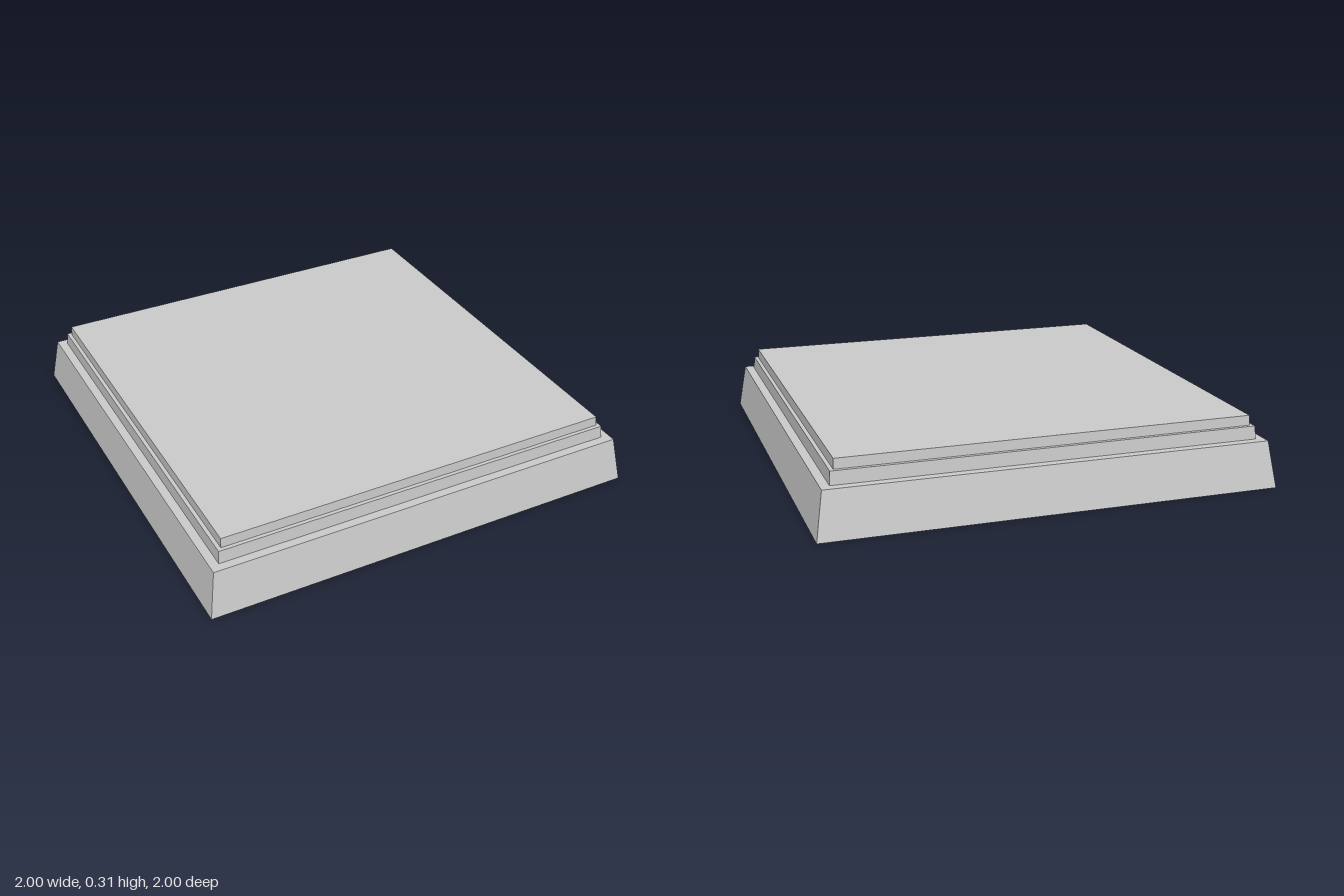
import * as THREE from 'three';

const material = new THREE.MeshStandardMaterial({ color: 0xcccccc, flatShading: true });

// Sweeps a profile of [half width, height] points round a square plan
function squareSweep(name, profile) {
  const points = profile.map(([half, y]) => new THREE.Vector2(half * Math.SQRT2, y));
  const mesh = new THREE.Mesh(new THREE.LatheGeometry(points, 4, Math.PI / 4), material);
  mesh.name = name;
  return mesh;
}

export function createModel() {
  const model = new THREE.Group();
  model.name = 'squarePlinth';

  // Hollow underside: ceiling and sloping inner walls
  model.add(squareSweep('undersideCavity', [[0, 0.247], [0.843, 0.247], [0.935, 0]]));

  // Bottom rim, sloping outer walls and ledge
  model.add(squareSweep('base', [[0.935, 0], [1, 0], [0.967, 0.205], [0.928, 0.205]]));

  // Stepped upper tiers
  model.add(squareSweep('middleTier', [[0.928, 0.205], [0.924, 0.263], [0.907, 0.263]]));
  model.add(squareSweep('topTier', [[0.907, 0.263], [0.905, 0.307], [0, 0.307]]));

  return model;
}
